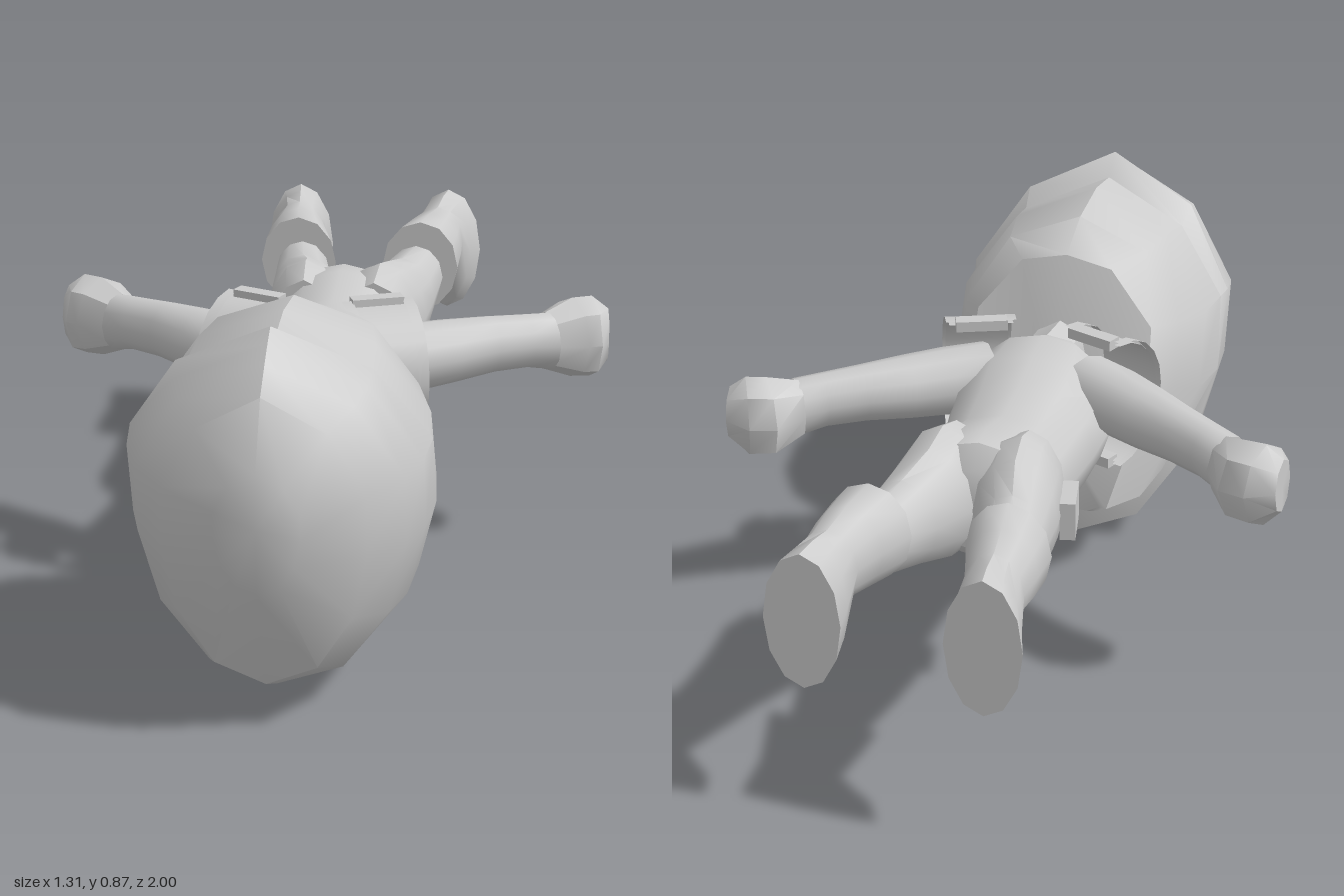
import * as THREE from 'three';
import { toCreasedNormals } from 'three/addons/utils/BufferGeometryUtils.js';

const mat = new THREE.MeshStandardMaterial({ color: 0xcccccc });
const thin = new THREE.MeshStandardMaterial({ color: 0xcccccc, side: THREE.DoubleSide });
const V = (x, y, z) => new THREE.Vector3(x, y, z);

// Closed skin through equal-length rings, with a fan at each end.
function loft(name, rings, crease = 0.7, endA, endB) {
  const n = rings[0].length, tris = [];
  const mid = r => r.reduce((s, p) => s.add(p), V(0, 0, 0)).divideScalar(n);
  const last = rings[rings.length - 1];
  const a = endA || mid(rings[0]), b = endB || mid(last);
  for (let j = 0; j < n; j++) {
    const k = (j + 1) % n;
    tris.push([a, rings[0][k], rings[0][j]], [b, last[j], last[k]]);
    for (let i = 0; i < rings.length - 1; i++) {
      const p = rings[i], q = rings[i + 1];
      tris.push([p[j], p[k], q[j]], [p[k], q[k], q[j]]);
    }
  }
  // turn the skin outwards if it came out reversed
  const volume = tris.reduce((s, [p, q, r]) => s + p.dot(q.clone().cross(r)), 0);
  const pos = [];
  for (const [p, q, r] of tris) {
    const area = q.clone().sub(p).cross(r.clone().sub(p)).length();
    if (area < 1e-8) continue;
    for (const v of volume < 0 ? [p, r, q] : [p, q, r]) pos.push(v.x, v.y, v.z);
  }
  const geo = new THREE.BufferGeometry();
  geo.setAttribute('position', new THREE.Float32BufferAttribute(pos, 3));
  const mesh = new THREE.Mesh(toCreasedNormals(geo, crease), mat);
  mesh.name = name;
  return mesh;
}

// Oval ring; angle turns it about the y axis (0 = facing along z).
function oval(x, y, z, rx, ry, angle = 0, n = 12) {
  return Array.from({ length: n }, (_, i) => {
    const t = (i / n) * Math.PI * 2, u = Math.cos(t) * rx;
    return V(x + u * Math.cos(angle), y + Math.sin(t) * ry, z - u * Math.sin(angle));
  });
}

// Oval ring across z from its limits.
const band = (z, x0, x1, y0, y1) =>
  oval((x0 + x1) / 2, (y0 + y1) / 2, z, (x1 - x0) / 2, (y1 - y0) / 2);

// Half outline, top to bottom, mirrored into a full ring.
function mirrorRing(half) {
  const right = half.map(p => V(...p));
  const left = right.slice(1, -1).reverse().map(p => V(-p.x, p.y, p.z));
  return right.concat(left);
}

function helmet() {
  // slanted front shell: top z, y; bottom z, y; half width
  const unit = [[0, 1], [0.64, 0.77], [1, 0.36], [1, -0.05], [0.86, -0.49], [0.86, -0.49], [0.51, -0.86], [0, -1]];
  const shell = [
    [0.99, 0.62, 0.982, 0.35, 0.09],
    [0.92, 0.76, 0.87, 0.10, 0.215],
    [0.86, 0.81, 0.72, 0.03, 0.285],
    [0.82, 0.84, 0.56, 0.005, 0.315],
    [0.78, 0.865, 0.37, 0.0, 0.325],
  ].map(([zt, yt, zb, yb, w]) => mirrorRing(unit.map(([s, c]) =>
    [s * w, (yt + yb) / 2 + c * (yt - yb) / 2, (zt + zb) / 2 + c * (zt - zb) / 2])));
  // stepped-in rear shell, with the sunken face opening underneath
  const rear = [
    [[0, 0.82, 0.72], [0.2, 0.735, 0.67], [0.315, 0.58, 0.62], [0.325, 0.41, 0.56],
      [0.255, 0.27, 0.39], [0.2, 0.29, 0.4], [0.13, 0.13, 0.37], [0, 0.07, 0.37]],
    [[0, 0.84, 0.6], [0.19, 0.76, 0.56], [0.305, 0.59, 0.5], [0.31, 0.42, 0.42],
      [0.245, 0.235, 0.33], [0.19, 0.26, 0.33], [0.12, 0.13, 0.3], [0, 0.105, 0.31]],
    [[0, 0.825, 0.45], [0.17, 0.76, 0.43], [0.265, 0.61, 0.38], [0.27, 0.46, 0.33],
      [0.21, 0.195, 0.25], [0.165, 0.22, 0.25], [0.11, 0.15, 0.23], [0, 0.14, 0.25]],
    [[0, 0.775, 0.33], [0.11, 0.75, 0.33], [0.215, 0.62, 0.31], [0.225, 0.47, 0.24],
      [0.15, 0.2, 0.155], [0.13, 0.2, 0.16], [0.1, 0.18, 0.17], [0, 0.17, 0.19]],
  ].map(mirrorRing);
  return loft('helmet', [...shell, ...rear], 0.65, V(0, 0.5, 0.998), V(0, 0.4, 0.19));
}

function limbs(side) {
  const g = new THREE.Group();
  const s = side;
  const mx = rings => rings.map(r => r.map(p => V(p.x * s, p.y, p.z)));

  // arm along a slanted line, ending in a blunt fist
  const aim = 2.2;
  g.add(loft('arm', mx([
    oval(0.12, 0.55, 0.08, 0.08, 0.09, aim),
    oval(0.21, 0.55, 0.04, 0.08, 0.08, aim),
    oval(0.29, 0.55, -0.015, 0.075, 0.075, aim),
    oval(0.38, 0.55, -0.075, 0.06, 0.068, aim),
    oval(0.46, 0.545, -0.125, 0.055, 0.065, aim),
    oval(0.515, 0.535, -0.16, 0.055, 0.07, aim),
  ])));
  g.add(loft('hand', mx([
    oval(0.505, 0.535, -0.16, 0.055, 0.07, aim, 8),
    oval(0.565, 0.53, -0.21, 0.085, 0.098, aim, 8),
    oval(0.61, 0.53, -0.225, 0.08, 0.1, aim - 0.2, 8),
    oval(0.65, 0.535, -0.225, 0.05, 0.065, aim - 0.5, 8),
  ])));

  // leg, then a flared boot with the toe turned down
  g.add(loft('leg', mx([
    band(-0.28, 0.0, 0.17, 0.315, 0.62),
    band(-0.36, -0.005, 0.187, 0.325, 0.645),
    band(-0.44, 0.0, 0.197, 0.345, 0.625),
    band(-0.55, 0.045, 0.205, 0.385, 0.6),
    band(-0.72, 0.085, 0.215, 0.445, 0.59),
  ])));
  g.add(loft('boot', mx([
    band(-0.68, 0.06, 0.25, 0.425, 0.655),
    band(-0.78, 0.09, 0.25, 0.445, 0.65),
    band(-0.87, 0.115, 0.245, 0.465, 0.64),
    band(-0.94, 0.115, 0.26, 0.355, 0.65),
    band(-1.0, 0.11, 0.28, 0.33, 0.65),
  ])));

  // shoulder guard: half band with a raised strip on both edges
  const guard = new THREE.Group();
  guard.name = 'shoulderGuard';
  const curve = (r, h, y) => {
    const m = new THREE.Mesh(new THREE.CylinderGeometry(r, r, h, 10, 1, true, 0, Math.PI), thin);
    m.position.y = y;
    m.name = 'guardBand';
    guard.add(m);
  };
  curve(0.15, 0.15, 0);
  for (const e of [-1, 1]) {
    curve(0.158, 0.025, e * 0.07);
    const tab = new THREE.Mesh(new THREE.BoxGeometry(0.035, 0.12, 0.025), mat);
    tab.name = 'guardEnd';
    tab.position.set(0, 0, e * 0.152);
    guard.add(tab);
  }
  // band axis runs outwards along the shoulder, open side towards the feet
  const axis = V(0.93 * s, 0, -0.37).normalize();
  const out = V(0.37 * s, 0, 0.93).normalize();
  guard.quaternion.setFromRotationMatrix(new THREE.Matrix4().makeBasis(out, axis, out.clone().cross(axis)));
  guard.position.set(0.135 * s, 0.54, 0.075);
  g.add(guard);
  return g;
}

export function createModel() {
  const model = new THREE.Group();
  model.name = 'figure';
  model.add(helmet());

  model.add(loft('torso', [
    [0.21, 0.09, 0.45, 0.62], [0.13, 0.165, 0.39, 0.655], [0.03, 0.195, 0.335, 0.645],
    [-0.07, 0.182, 0.315, 0.62], [-0.2, 0.165, 0.31, 0.605], [-0.32, 0.175, 0.32, 0.635],
    [-0.39, 0.175, 0.34, 0.63], [-0.43, 0.11, 0.38, 0.58],
  ].map(([z, w, y0, y1]) => band(z, -w, w, y0, y1))));

  // neck column between the shoulders
  model.add(loft('neck', [0.33, 0.24, 0.14].map((z, i) =>
    oval(0, 0.53, z, 0.075, 0.09 + i * 0.012, 0, 8))));

  for (const s of [1, -1]) {
    const side = limbs(s);
    side.name = s > 0 ? 'leftLimbs' : 'rightLimbs';
    model.add(side);
  }

  // small pouch on the right hip
  const pouch = new THREE.Mesh(new THREE.BoxGeometry(0.035, 0.09, 0.11), mat);
  pouch.name = 'hipPouch';
  pouch.position.set(-0.197, 0.47, -0.35);
  pouch.rotation.y = 0.2;
  model.add(pouch);
  return model;
}
